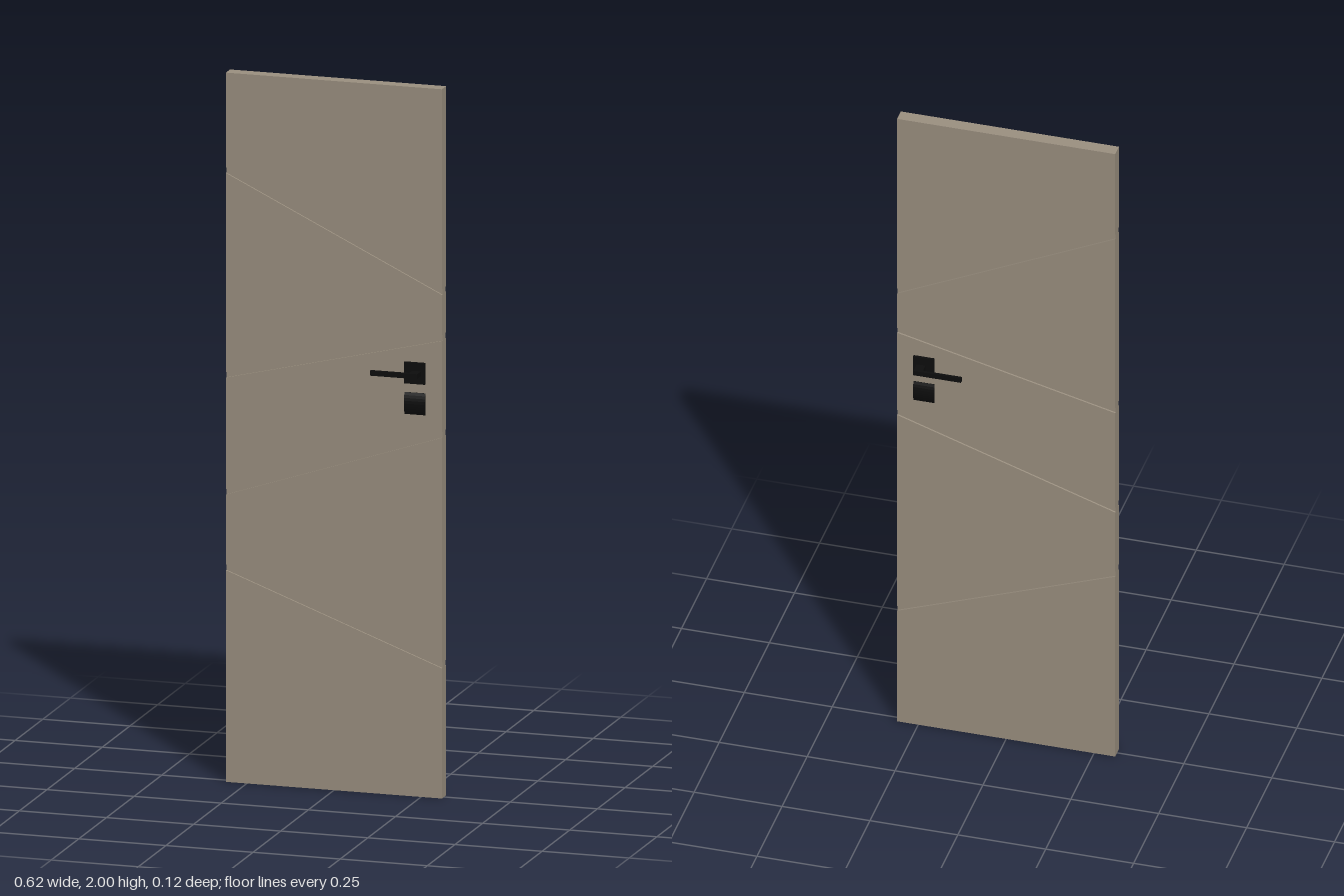
import * as THREE from 'three';

const W = 0.31;        // half width of the leaf
const T = 0.0187;      // half thickness of the leaf
const GROOVE = 0.008;  // half height of a groove
const DEPTH = 0.005;   // depth of a groove

export function createModel() {
  const wood = new THREE.MeshStandardMaterial({ color: 0x9c9181 });
  wood.name = 'taupe wood';
  const metal = new THREE.MeshStandardMaterial({ color: 0x0d0d0d });
  metal.name = 'black metal';

  const model = new THREE.Group();
  model.name = 'door';

  // Four-sided slab between two slanted edges, given as heights at the left and right
  function slab(name, low, high, half) {
    const shape = new THREE.Shape([
      new THREE.Vector2(-W, low[0]), new THREE.Vector2(W, low[1]),
      new THREE.Vector2(W, high[1]), new THREE.Vector2(-W, high[0]),
    ]);
    const geo = new THREE.ExtrudeGeometry(shape, { depth: half * 2, bevelEnabled: false });
    geo.translate(0, 0, -half);
    const mesh = new THREE.Mesh(geo, wood);
    mesh.name = name;
    model.add(mesh);
  }

  // Leaf: five panels with thinner strips between them forming the grooves
  const grooves = [[0.605, 0.375], [0.818, 1.025], [1.148, 1.298], [1.725, 1.428]];
  let low = [0, 0];
  grooves.forEach((g, i) => {
    const under = g.map((y) => y - GROOVE);
    const over = g.map((y) => y + GROOVE);
    slab('panel' + (i + 1), low, under, T);
    slab('groove' + (i + 1), under, over, T - DEPTH);
    low = over;
  });
  slab('panel5', low, [2, 2], T);

  // Handle set, built once for the front and repeated on the back
  function box(parent, name, x0, x1, y0, y1, z0, z1) {
    const geo = new THREE.BoxGeometry(x1 - x0, y1 - y0, z1 - z0);
    const mesh = new THREE.Mesh(geo, metal);
    mesh.name = name;
    mesh.position.set((x0 + x1) / 2, (y0 + y1) / 2, (z0 + z1) / 2);
    parent.add(mesh);
  }

  for (const side of [1, -1]) {
    const set = new THREE.Group();
    set.name = side > 0 ? 'frontHandle' : 'backHandle';
    const z = (a, b) => (side > 0 ? [a, b] : [-b, -a]);
    box(set, 'rosette', 0.203, 0.263, 1.165, 1.225, ...z(T - 0.002, 0.027));
    box(set, 'neck', 0.227, 0.252, 1.188, 1.202, ...z(0.025, 0.061));
    box(set, 'lever', 0.1165, 0.23, 1.188, 1.202, ...z(0.052, 0.061));

    // Keyhole plate with a gently domed face
    const profile = new THREE.Shape();
    profile.moveTo(T - 0.002, 1.077);
    profile.lineTo(T + 0.001, 1.077);
    profile.quadraticCurveTo(0.034, 1.108, T + 0.001, 1.139);
    profile.lineTo(T - 0.002, 1.139);
    const geo = new THREE.ExtrudeGeometry(profile, { depth: 0.06, bevelEnabled: false, curveSegments: 8 });
    geo.rotateY(-Math.PI / 2); // profile depth now points to +z, width to -x
    geo.translate(0.263, 0, 0);
    if (side < 0) {
      geo.rotateY(Math.PI);
      geo.translate(0.466, 0, 0);
    }
    const plate = new THREE.Mesh(geo, metal);
    plate.name = 'keyPlate';
    set.add(plate);
    model.add(set);
  }
  return model;
}
